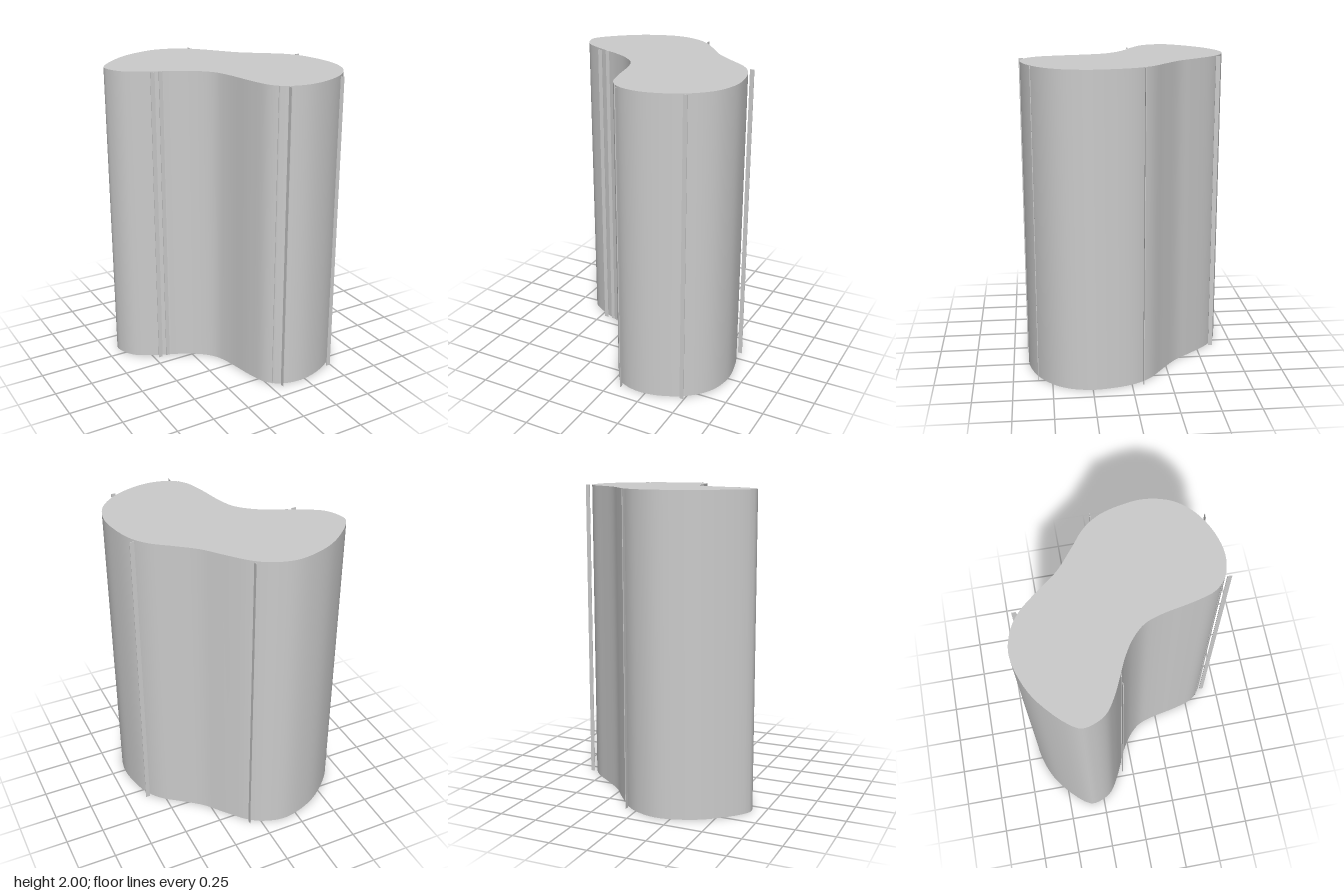
import * as THREE from 'three';
import { toCreasedNormals } from 'three/addons/utils/BufferGeometryUtils.js';

const HEIGHT = 2;

// Kidney-shaped plan as [x, z] points
const OUTLINE = [
  [-0.66, -0.355], [-0.47, -0.555], [-0.3, -0.64], [-0.15, -0.667], [-0.015, -0.632],
  [0.078, -0.57], [0.2, -0.43], [0.285, -0.325], [0.41, -0.222], [0.533, -0.124],
  [0.604, -0.018], [0.646, 0.13], [0.657, 0.265], [0.618, 0.413], [0.533, 0.522],
  [0.39, 0.61], [0.215, 0.65], [0.074, 0.618], [0, 0.547], [-0.042, 0.424],
  [-0.088, 0.212], [-0.127, 0.11], [-0.208, 0.025], [-0.314, -0.04], [-0.4, -0.078],
  [-0.526, -0.138], [-0.607, -0.194], [-0.653, -0.275],
];

// Thin upright strips: centre x, centre z, width in x, depth in z
const T = 0.004, W = 0.028;
const STRIPS = [
  [0.075, -0.603, T, W], [0.075, 0.645, T, W],
  [-0.457, -0.075, W, T], [-0.4, -0.075, W, T], [0.607, -0.075, W, T],
  [0.483, 0.59, W, T], [0.045, 0.59, W, T],
];

export function createModel() {
  const model = new THREE.Group();
  const material = new THREE.MeshStandardMaterial({ color: 0xcccccc });

  // Column: smooth closed curve extruded upwards
  const curve = new THREE.CatmullRomCurve3(
    OUTLINE.map(([x, z]) => new THREE.Vector3(x, -z, 0)), true, 'centripetal');
  const points = curve.getPoints(140).slice(0, -1).map((p) => new THREE.Vector2(p.x, p.y));
  const body = new THREE.ExtrudeGeometry(new THREE.Shape(points), { depth: HEIGHT, bevelEnabled: false });
  body.rotateX(-Math.PI / 2);
  const column = new THREE.Mesh(toCreasedNormals(body, Math.PI / 5), material);
  column.name = 'column';
  model.add(column);

  // Full-height strips standing around the column
  STRIPS.forEach(([x, z, w, d], i) => {
    const strip = new THREE.Mesh(new THREE.BoxGeometry(w, HEIGHT, d), material);
    strip.position.set(x, HEIGHT / 2, z);
    strip.name = `strip${i + 1}`;
    model.add(strip);
  });

  return model;
}
